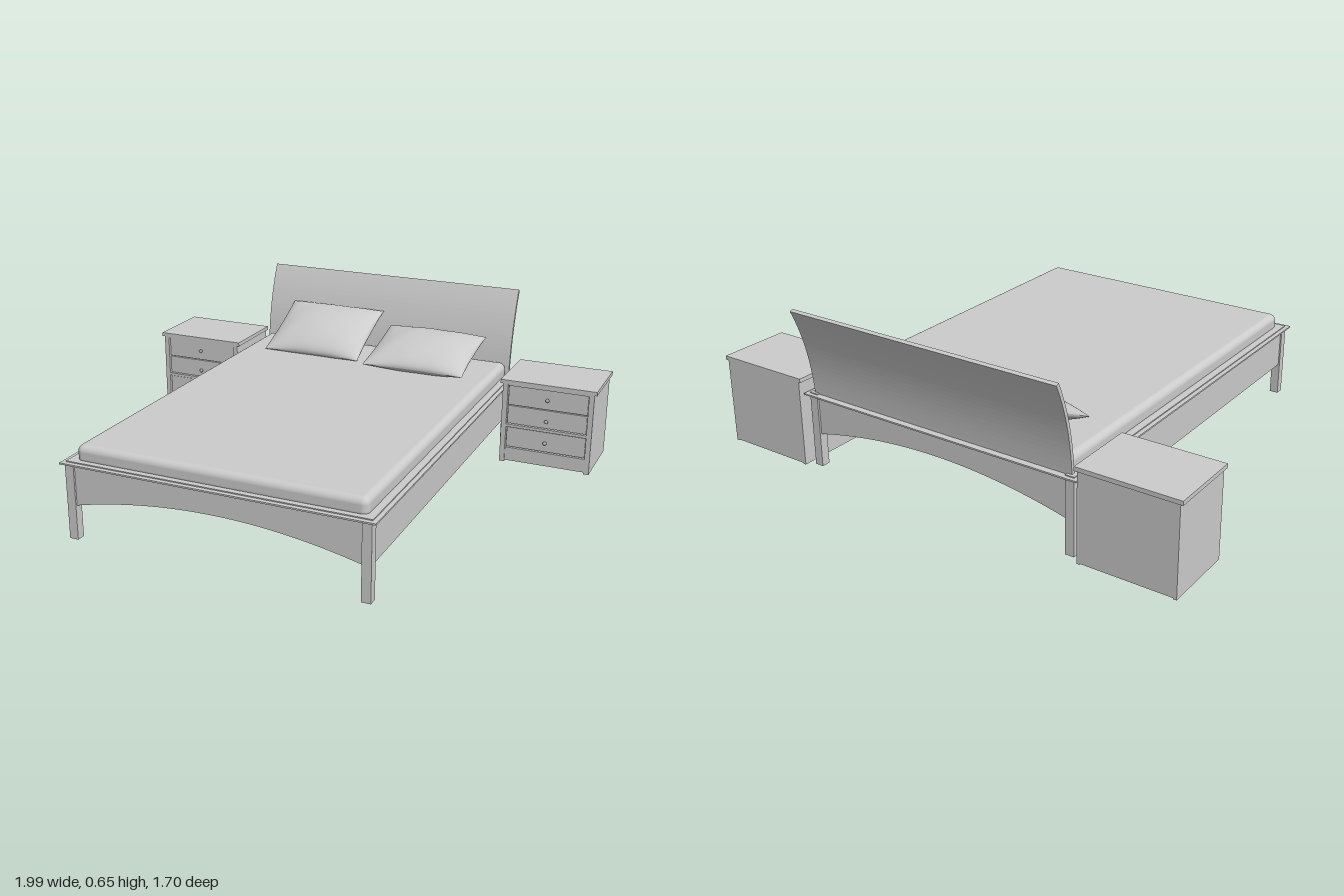
import * as THREE from 'three';
import { RoundedBoxGeometry } from 'three/addons/geometries/RoundedBoxGeometry.js';

const material = new THREE.MeshStandardMaterial({ color: 0xcccccc });
const thinMaterial = new THREE.MeshStandardMaterial({ color: 0xcccccc, side: THREE.DoubleSide });

function add(parent, name, geometry, x = 0, y = 0, z = 0, mat = material) {
  const mesh = new THREE.Mesh(geometry, mat);
  mesh.name = name;
  mesh.position.set(x, y, z);
  parent.add(mesh);
  return mesh;
}

// Box given by its extents along each axis
function slab(parent, name, [x0, x1], [y0, y1], [z0, z1]) {
  return add(parent, name, new THREE.BoxGeometry(x1 - x0, y1 - y0, z1 - z0),
    (x0 + x1) / 2, (y0 + y1) / 2, (z0 + z1) / 2);
}

// End panel with an arched lower edge
function archedPanel(parent, name, z) {
  const w = 0.56, arch = [];
  for (let i = 0; i <= 32; i++) {
    const t = -1 + i / 16;
    arch.push(new THREE.Vector2(t * w, 0.2 - 0.07 * t * t));
  }
  const shape = new THREE.Shape([...arch, new THREE.Vector2(w, 0.29), new THREE.Vector2(-w, 0.29)]);
  const geometry = new THREE.ExtrudeGeometry(shape, { depth: 0.02, bevelEnabled: false });
  add(parent, name, geometry, 0, 0, z - 0.01);
}

function bedFrame() {
  const frame = new THREE.Group();
  frame.name = 'bedFrame';
  for (const s of [-1, 1]) {
    for (const z of [0.8225, -0.7525])
      add(frame, 'leg', new THREE.BoxGeometry(0.035, 0.29, 0.035), s * 0.568, 0.145, z);
    add(frame, 'sideRail', new THREE.BoxGeometry(0.02, 0.16, 1.57), s * 0.57, 0.21, 0.035);
  }
  archedPanel(frame, 'footPanel', 0.8225);
  archedPanel(frame, 'headPanel', -0.7525);

  // Thin ledge around the top of the rails
  const ledge = new THREE.Shape();
  ledge.moveTo(-0.602, -0.85).lineTo(0.602, -0.85).lineTo(0.602, 0.785).lineTo(-0.602, 0.785).closePath();
  const hole = new THREE.Path();
  hole.moveTo(-0.545, -0.795).lineTo(-0.545, 0.73).lineTo(0.545, 0.73).lineTo(0.545, -0.795).closePath();
  ledge.holes.push(hole);
  const ledgeGeometry = new THREE.ExtrudeGeometry(ledge, { depth: 0.006, bevelEnabled: false });
  ledgeGeometry.rotateX(-Math.PI / 2);
  add(frame, 'ledge', ledgeGeometry, 0, 0.289, 0);
  // Raised inner lip
  for (const s of [-1, 1])
    slab(frame, 'ledgeLip', s < 0 ? [-0.585, -0.55] : [0.55, 0.585], [0.29, 0.299], [-0.77, 0.832]);
  slab(frame, 'ledgeLip', [-0.585, 0.585], [0.29, 0.299], [0.8, 0.832]);
  slab(frame, 'bedBase', [-0.56, 0.56], [0.272, 0.29], [-0.75, 0.82]);
  return frame;
}

// Backward-curving board, extruded along x
function headboard(parent) {
  const mid = new THREE.QuadraticBezierCurve(
    new THREE.Vector2(0.752, 0.294), new THREE.Vector2(0.765, 0.49), new THREE.Vector2(0.842, 0.648));
  const front = [], back = [];
  for (let i = 0; i <= 20; i++) {
    const p = mid.getPoint(i / 20), t = mid.getTangent(i / 20);
    const n = new THREE.Vector2(t.y, -t.x).multiplyScalar(0.007);
    front.push(p.clone().sub(n));
    back.unshift(p.clone().add(n));
  }
  const geometry = new THREE.ExtrudeGeometry(new THREE.Shape([...front, ...back]),
    { depth: 1.14, bevelEnabled: false });
  geometry.rotateY(Math.PI / 2);
  add(parent, 'headboard', geometry, -0.57, 0, 0);
}

// Cushion: a sphere-like pair of bulging sheets with pinched sides and soft creases
function pillowGeometry(w, d, t) {
  const n = 28, positions = [], index = [];
  for (const side of [1, -1]) {
    const base = positions.length / 3;
    for (let j = 0; j <= n; j++) for (let i = 0; i <= n; i++) {
      const u = Math.sin((i / n - 0.5) * Math.PI), v = Math.sin((j / n - 0.5) * Math.PI);
      const fu = 1 - u * u, fv = 1 - v * v;
      const crease = 1 + 0.04 * Math.sin(9 * u + 4 * v) * (1 - fu * fv);
      positions.push(
        u * w / 2 * (1 - 0.035 * fv),
        side * t / 2 * Math.pow(fu * fv, 0.5) * crease,
        v * d / 2 * (1 - 0.045 * fu));
      if (i < n && j < n) {
        const a = base + j * (n + 1) + i, b = a + 1, c = a + n + 1, e = c + 1;
        if (side > 0) index.push(a, c, b, b, c, e);
        else index.push(a, b, c, b, e, c);
      }
    }
  }
  const geometry = new THREE.BufferGeometry();
  geometry.setAttribute('position', new THREE.Float32BufferAttribute(positions, 3));
  geometry.setIndex(index);
  geometry.computeVertexNormals();
  return geometry;
}

// Cabinet with open underside, three drawers and round knobs
function nightstand(name, x) {
  const stand = new THREE.Group();
  stand.name = name;
  stand.position.x = x;
  slab(stand, 'top', [-0.197, 0.197], [0.341, 0.357], [-0.8, -0.508]);
  for (const s of [-1, 1]) {
    slab(stand, 'sidePanel', s < 0 ? [-0.187, -0.175] : [0.175, 0.187], [0, 0.341], [-0.797, -0.511]);
    slab(stand, 'frontStile', s < 0 ? [-0.187, -0.166] : [0.166, 0.187], [0, 0.341], [-0.528, -0.511]);
  }
  slab(stand, 'backPanel', [-0.176, 0.176], [0.004, 0.341], [-0.797, -0.787]);
  slab(stand, 'frontBacking', [-0.176, 0.176], [0.008, 0.341], [-0.537, -0.528]);
  slab(stand, 'topRail', [-0.166, 0.166], [0.333, 0.341], [-0.53, -0.513]);
  slab(stand, 'middleRail', [-0.166, 0.166], [0.154, 0.166], [-0.53, -0.513]);
  slab(stand, 'plinth', [-0.166, 0.166], [0.006, 0.063], [-0.53, -0.515]);
  for (const [y0, y1, knobY] of [[0.25, 0.331, 0.292], [0.169, 0.246, 0.2], [0.067, 0.151, 0.107]]) {
    slab(stand, 'drawerFront', [-0.163, 0.163], [y0, y1], [-0.53, -0.519]);
    const stem = add(stand, 'knobStem', new THREE.CylinderGeometry(0.004, 0.004, 0.012, 12), 0, knobY, -0.514);
    stem.rotation.x = Math.PI / 2;
    add(stand, 'knob', new THREE.SphereGeometry(0.008, 16, 12), 0, knobY, -0.509).scale.z = 0.6;
  }
  return stand;
}

export function createModel() {
  const model = new THREE.Group();
  model.name = 'bedroomSet';
  model.add(bedFrame());
  headboard(model);
  add(model, 'mattress', new RoundedBoxGeometry(1.115, 0.075, 1.555, 5, 0.026), 0, 0.3175, 0.0325);

  const pillow = pillowGeometry(0.435, 0.335, 0.11);
  const leftPillow = add(model, 'leftPillow', pillow, 0.247, 0.412, -0.58, thinMaterial);
  leftPillow.rotation.x = 0.25;
  const rightPillow = add(model, 'rightPillow', pillow, -0.235, 0.432, -0.625, thinMaterial);
  rightPillow.rotation.x = 0.44;

  model.add(nightstand('leftNightstand', 0.8), nightstand('rightNightstand', -0.8));
  return model;
}
